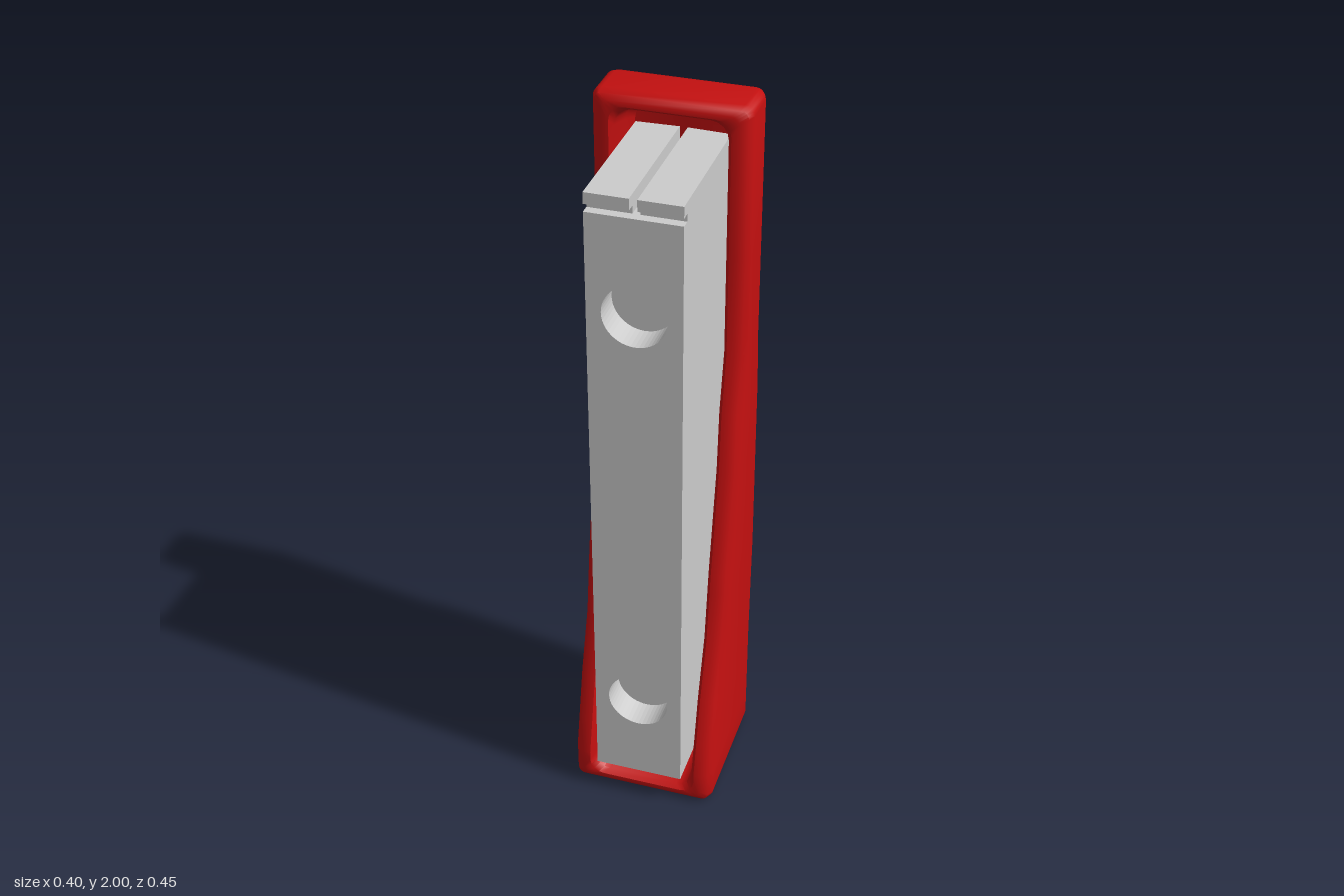
import * as THREE from 'three';
import { toCreasedNormals } from 'three/addons/utils/BufferGeometryUtils.js';

// Linear interpolation through [y, z] pairs
function profile(points) {
  return (y) => {
    for (let i = 1; i < points.length; i++) {
      const [y0, z0] = points[i - 1], [y1, z1] = points[i];
      if (y <= y1) return z0 + ((z1 - z0) * (y - y0)) / (y1 - y0);
    }
    return points[points.length - 1][1];
  };
}

const front = profile([[0, 0.2], [0.1, 0.2], [0.33, 0.145], [0.5, 0.09], [0.7, 0.06],
  [1, 0], [1.17, -0.015], [1.33, -0.05], [2, -0.05]]);
const back = profile([[0, -0.21], [0.35, -0.212], [0.65, -0.225], [1.17, -0.222], [1.33, -0.21], [2, -0.21]]);
const sideYs = [0.1, 0.2, 0.33, 0.5, 0.65, 0.7, 1, 1.17, 1.33, 1.6];

// Rounded rectangle in xy, with z following a profile along y
function ring({ w, inset, r, z, dz }) {
  const y0 = inset, y1 = 2 - inset, pts = [];
  const add = (x, y) => pts.push([x, y, z(y) + dz]);
  const corner = (cx, cy, start) => {
    for (let k = 0; k <= 4; k++) {
      const a = start + (k / 4) * Math.PI / 2;
      add(cx + r * Math.cos(a), cy + r * Math.sin(a));
    }
  };
  const ys = sideYs.map((y) => Math.max(y, y0 + r));
  corner(w - r, y0 + r, -Math.PI / 2);
  ys.forEach((y) => add(w, y));
  corner(w - r, y1 - r, 0);
  corner(-w + r, y1 - r, Math.PI / 2);
  ys.reverse().forEach((y) => add(-w, y));
  corner(-w + r, y0 + r, Math.PI);
  return pts;
}

// Skin joining successive closed rings
function loft(rings) {
  const n = rings[0].length, index = [];
  for (let i = 0; i < rings.length - 1; i++) {
    for (let j = 0; j < n; j++) {
      const a = i * n + j, b = i * n + ((j + 1) % n);
      index.push(a, b, b + n, a, b + n, a + n);
    }
  }
  const g = new THREE.BufferGeometry();
  g.setAttribute('position', new THREE.Float32BufferAttribute(rings.flat(2), 3));
  g.setIndex(index);
  return toCreasedNormals(g, 0.8);
}

export function createModel() {
  const model = new THREE.Group();
  const red = new THREE.MeshStandardMaterial({ color: 0xc41010 });
  const grey = new THREE.MeshStandardMaterial({ color: 0xcccccc });
  const add = (name, geometry, material, x = 0, y = 0, z = 0) => {
    const mesh = new THREE.Mesh(geometry, material);
    mesh.name = name;
    mesh.position.set(x, y, z);
    model.add(mesh);
  };

  // Shell: from the middle of the back, round the rim, into the cavity
  add('shell', loft([
    { w: 0, inset: 0.03, r: 0, z: back, dz: 0 },
    { w: 0.17, inset: 0.02, r: 0.015, z: back, dz: 0 },
    { w: 0.191, inset: 0.007, r: 0.02, z: back, dz: 0.01 },
    { w: 0.2, inset: 0, r: 0.025, z: back, dz: 0.032 },
    { w: 0.2, inset: 0, r: 0.025, z: front, dz: -0.032 },
    { w: 0.191, inset: 0.007, r: 0.02, z: front, dz: -0.01 },
    { w: 0.17, inset: 0.02, r: 0.02, z: front, dz: 0 },
    { w: 0.152, inset: 0.032, r: 0.04, z: front, dz: 0 },
    { w: 0.142, inset: 0.042, r: 0.045, z: front, dz: -0.015 },
    { w: 0.135, inset: 0.055, r: 0.045, z: back, dz: 0.08 },
    { w: 0.122, inset: 0.075, r: 0.035, z: back, dz: 0.045 },
    { w: 0, inset: 0.09, r: 0, z: back, dz: 0.04 },
  ].map(ring)), red);

  // Block body behind the drilled plate
  const zBack = -0.17, zPlate = 0.145, zFront = 0.225, half = 0.121;
  add('blockBody', new THREE.BoxGeometry(half * 2, 1.73, zPlate - zBack), grey, 0, 0.965, (zPlate + zBack) / 2);

  // Front plate with two round recesses
  const plate = new THREE.Shape();
  plate.moveTo(-half, 0.1).lineTo(half, 0.1).lineTo(half, 1.83).lineTo(-half, 1.83).closePath();
  for (const y of [0.36, 1.57]) {
    plate.holes.push(new THREE.Path().absarc(0, y, 0.083, 0, Math.PI * 2, true));
  }
  add('frontPlate', new THREE.ExtrudeGeometry(plate,
    { depth: zFront - zPlate, bevelEnabled: false, curveSegments: 24 }), grey, 0, 0, zPlate);

  // Two top halves, leaving a central slot and a groove under the front lip
  const cap = new THREE.Shape();
  cap.moveTo(-zBack, 1.83).lineTo(-zBack, 1.88).lineTo(-zFront, 1.88)
    .lineTo(-zFront, 1.85).lineTo(-0.2, 1.85).lineTo(-0.2, 1.83).closePath();
  for (const [name, x] of [['topHalfLeft', 0.01], ['topHalfRight', -half]]) {
    const g = new THREE.ExtrudeGeometry(cap, { depth: half - 0.01, bevelEnabled: false });
    add(name, g.rotateY(Math.PI / 2), grey, x);
  }
  return model;
}
